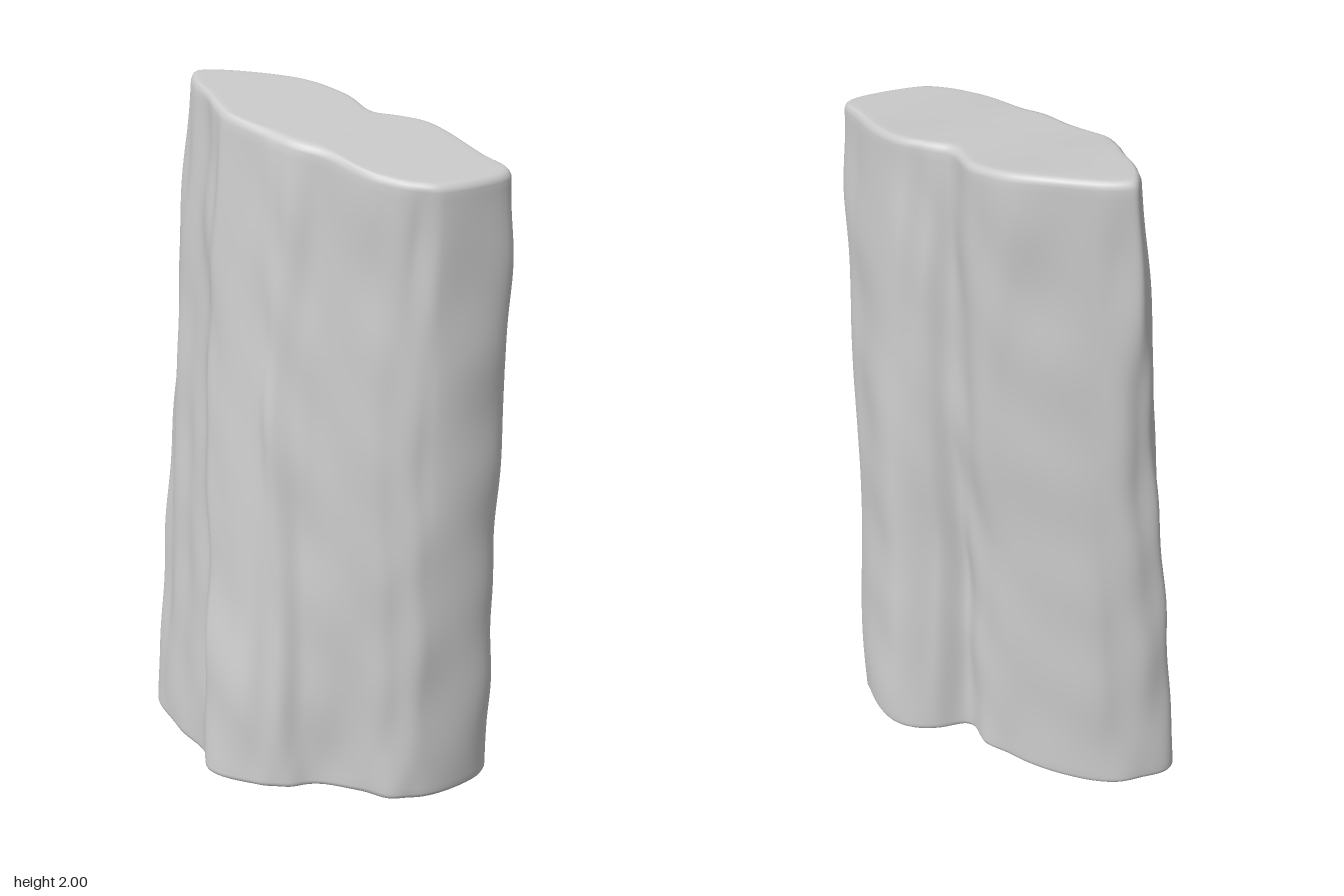
import * as THREE from 'three';

// Matching [x, z] outlines of the two ends: left end, along the back, right end, along the front
const BOTTOM = [[-0.53, -0.05], [-0.48, -0.13], [-0.38, -0.195], [-0.13, -0.23], [-0.01, -0.225], [0.07, -0.185],
  [0.16, -0.245], [0.29, -0.27], [0.46, -0.14], [0.485, -0.02], [0.38, 0.14], [0.29, 0.18], [0.2, 0.19],
  [0.05, 0.22], [-0.02, 0.26], [-0.11, 0.272], [-0.25, 0.23], [-0.29, 0.17], [-0.39, 0.085], [-0.49, 0.005]];
const TOP = [[-0.41, -0.16], [-0.395, -0.195], [-0.32, -0.235], [-0.12, -0.268], [0, -0.25], [0.11, -0.175],
  [0.18, -0.18], [0.26, -0.178], [0.43, -0.07], [0.515, 0], [0.39, 0.16], [0.32, 0.18], [0.22, 0.18],
  [0.06, 0.125], [-0.05, 0.105], [-0.11, 0.08], [-0.24, 0.03], [-0.29, -0.01], [-0.34, -0.07], [-0.39, -0.12]];
// Broad swellings and hollows: place and width around, height and width along, amount
const SWELLS = [
  [0.03, 0.07, 0.83, 0.13, 0.022], // left edge near the top
  [0.44, 0.04, 0.2, 0.13, 0.02], // right edge, low
  [0.44, 0.04, 0.55, 0.25, 0.018], // right edge, middle
  [0.44, 0.04, 0.87, 0.08, 0.014], // right edge, high
  [0.56, 0.07, 0.5, 0.25, 0.016], // right half of the front
  [0.74, 0.07, 0.12, 0.1, 0.014], // foot of the front
  [0.25, 0.16, 0.33, 0.18, -0.018], // hollow of the back
];
const AROUND = 216, UP = 90, CENTRE = [0.03, -0.02];

// Smooth closed outline
function outline(pts) {
  const curve = new THREE.CatmullRomCurve3(pts.map(([x, z]) => new THREE.Vector3(x, 0, z)), true);
  return Array.from({ length: AROUND }, (_, i) => curve.getPoint(i / AROUND));
}

const bell = (d, width) => Math.exp(-((d / width) ** 2));

// Bark relief: the swellings plus bumps stretched along the grain
function bark(u, t) {
  const a = u * Math.PI * 2, y = t * 2;
  const ripple = 0.0025 * Math.sin(9 * a + 1.3 * Math.sin(2.6 * y + 1))
    + 0.002 * Math.sin(17 * a + 2 * Math.sin(3.7 * y) + 1.9 * y)
    + 0.004 * Math.sin(5 * a + 6.5 * y) * Math.sin(3 * a - 3.1 * y + 1)
    + 0.003 * Math.sin(13 * a - 11 * y) * Math.sin(4 * a + 7 * y)
    + 0.003 * Math.sin(14 * y + 3 * Math.sin(2 * a)) * Math.sin(2 * a + 2 * y);
  return SWELLS.reduce((sum, [u0, wu, t0, wt, amount]) => {
    const du = u - u0 - Math.round(u - u0);
    return sum + amount * bell(du, wu) * bell(t - t0, wt);
  }, ripple);
}

// Slanted saw cuts; the underside dips to a small splinter at the back right corner
const topY = (x, z) => 1.951 - 0.1 * x - 0.065 * z + 0.003 * Math.sin(14 * x + 9 * z);
const bottomY = (x, z) => 0.036 + 0.06 * z + 0.006 * Math.sin(9 * x + 1)
  - 0.035 * bell(Math.hypot(x - 0.45, z + 0.14), 0.04);

function logGeometry() {
  const lower = outline(BOTTOM), upper = outline(TOP);
  const positions = [], index = [];

  // Rows as [height fraction, scale, inset, drop]: underside, lower rim, wall, upper rim, top face
  const cap = [0.001, 0.25, 0.5, 0.75, 0.93, 1].map((s) => [s, 0.022, 0]);
  const end = [...cap, [1, 0.013, 0.002], [1, 0.006, 0.007], [1, 0.002, 0.014]];
  const rows = end.map((e) => [0, ...e]);
  for (let j = 1; j < UP; j++) rows.push([j / UP, 1, 0, 0]);
  rows.push(...end.map((e) => [1, ...e]).reverse());

  rows.forEach(([t, scale, inset, drop], r) => {
    for (let i = 0; i < AROUND; i++) {
      const p = lower[i].clone().lerp(upper[i], t);
      const dx = p.x - CENTRE[0], dz = p.z - CENTRE[1];
      const s = scale * (1 + (bark(i / AROUND, t) - inset) / Math.hypot(dx, dz));
      const x = CENTRE[0] + dx * s, z = CENTRE[1] + dz * s;
      const y = THREE.MathUtils.lerp(bottomY(x, z) + drop, topY(x, z) - drop, t);
      positions.push(x, Math.max(0, y), z);

      if (r === rows.length - 1) continue;
      const a = r * AROUND + i, b = r * AROUND + (i + 1) % AROUND;
      index.push(a, a + AROUND, b, b, a + AROUND, b + AROUND);
    }
  });
  const geometry = new THREE.BufferGeometry();
  geometry.setAttribute('position', new THREE.Float32BufferAttribute(positions, 3));
  geometry.setIndex(index);
  geometry.computeVertexNormals();
  return geometry;
}

export function createModel() {
  const group = new THREE.Group();
  group.name = 'splitLog';
  const log = new THREE.Mesh(logGeometry(), new THREE.MeshStandardMaterial({ color: 0xcccccc }));
  log.name = 'trunk';
  group.add(log);
  return group;
}
